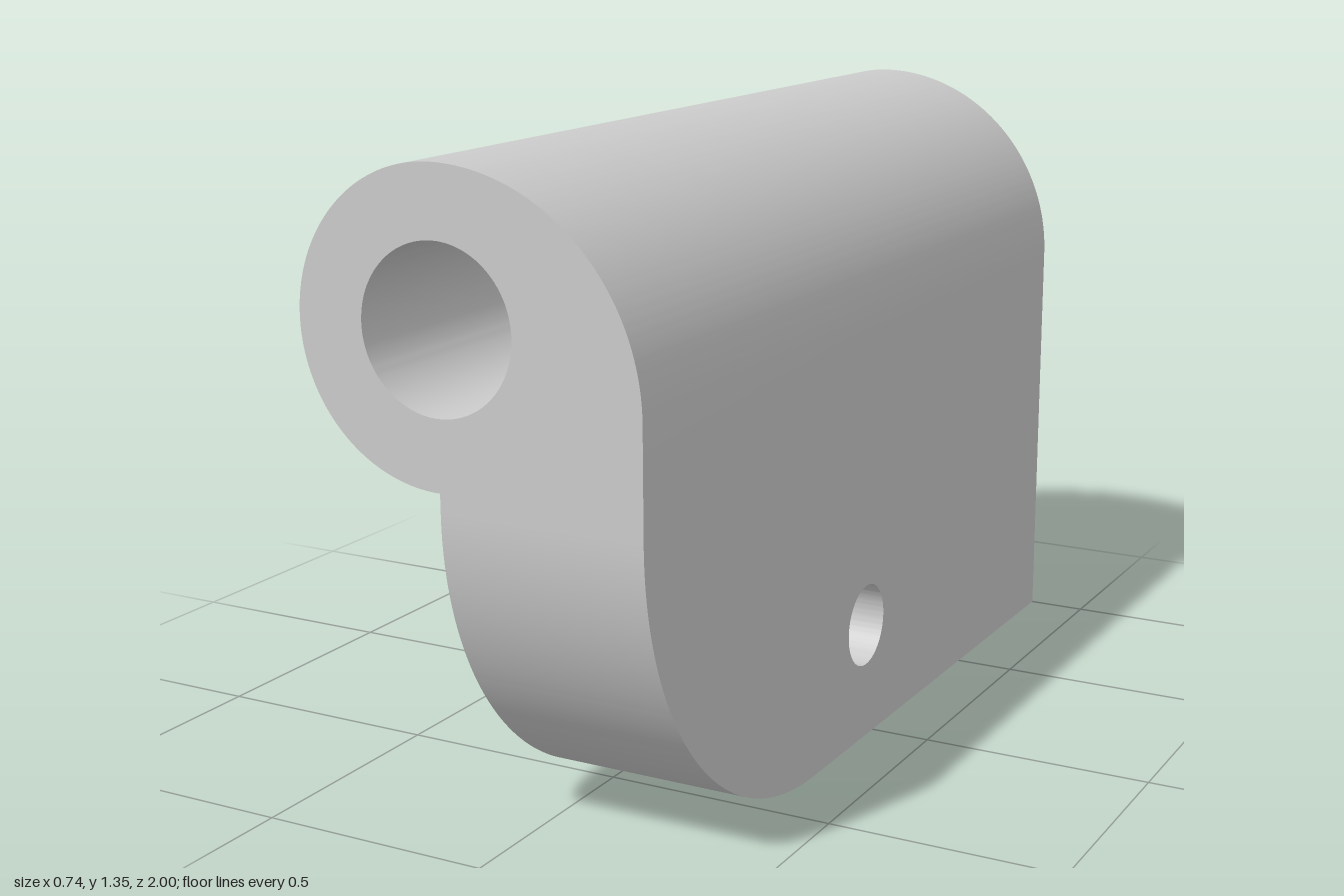
import * as THREE from 'three';
import { toCreasedNormals } from 'three/addons/utils/BufferGeometryUtils.js';

const RIGHT = -0.064, LEFT = 0.369;        // plate faces in x
const AXIS_Y = 1.042, BARREL_R = 0.307;    // barrel axis height and outer radius
const SEAM = AXIS_Y - BARREL_R;            // where the plate meets the barrel

// Extrude a profile, leaving out the hidden faces on the seam plane.
function extrude(shape, depth, place) {
  const geo = new THREE.ExtrudeGeometry(shape, { depth, bevelEnabled: false, curveSegments: 48 });
  place(geo);
  const p = geo.attributes.position, kept = [];
  for (let i = 0; i < p.count; i += 3) {
    const corners = [i, i + 1, i + 2];
    if (corners.every((c) => Math.abs(p.getY(c) - SEAM) < 1e-5)) continue;
    for (const c of corners) kept.push(p.getX(c), p.getY(c), p.getZ(c));
  }
  const out = new THREE.BufferGeometry();
  out.setAttribute('position', new THREE.Float32BufferAttribute(kept, 3));
  return toCreasedNormals(out, Math.PI / 6);
}

function addHole(shape, x, y, r) {
  shape.holes.push(new THREE.Path().absarc(x, y, r, 0, Math.PI * 2, true));
}

export function createModel() {
  const group = new THREE.Group();
  group.name = 'hingeLeaf';
  const material = new THREE.MeshStandardMaterial({ color: 0xcccccc });
  const add = (name, geometry) => {
    const mesh = new THREE.Mesh(geometry, material);
    mesh.name = name;
    group.add(mesh);
  };

  // Barrel with its pin bore, blending into the top of the plate
  const shoulderR = LEFT - RIGHT;
  const barrel = new THREE.Shape();
  barrel.moveTo(RIGHT, SEAM);
  barrel.lineTo(LEFT, SEAM);
  barrel.absarc(RIGHT, AXIS_Y + BARREL_R - shoulderR, shoulderR, 0, Math.PI / 2, false);
  barrel.absarc(RIGHT, AXIS_Y, BARREL_R, Math.PI / 2, Math.PI * 1.5, false);
  addHole(barrel, RIGHT, AXIS_Y, 0.165);
  add('barrel', extrude(barrel, 2, (g) => g.translate(0, 0, -1)));

  // Plate drawn in (z, y): large rounded front corner and a cross hole
  const cornerR = 0.7;
  const plate = new THREE.Shape();
  plate.moveTo(-1, SEAM);
  plate.lineTo(-1, 0);
  plate.lineTo(1 - cornerR, 0);
  plate.absarc(1 - cornerR, cornerR, cornerR, -Math.PI / 2, 0, false);
  plate.lineTo(1, SEAM);
  addHole(plate, 0.042, 0.256, 0.09);
  add('plate', extrude(plate, LEFT - RIGHT, (g) => g.rotateY(-Math.PI / 2).translate(LEFT, 0, 0)));

  return group;
}
